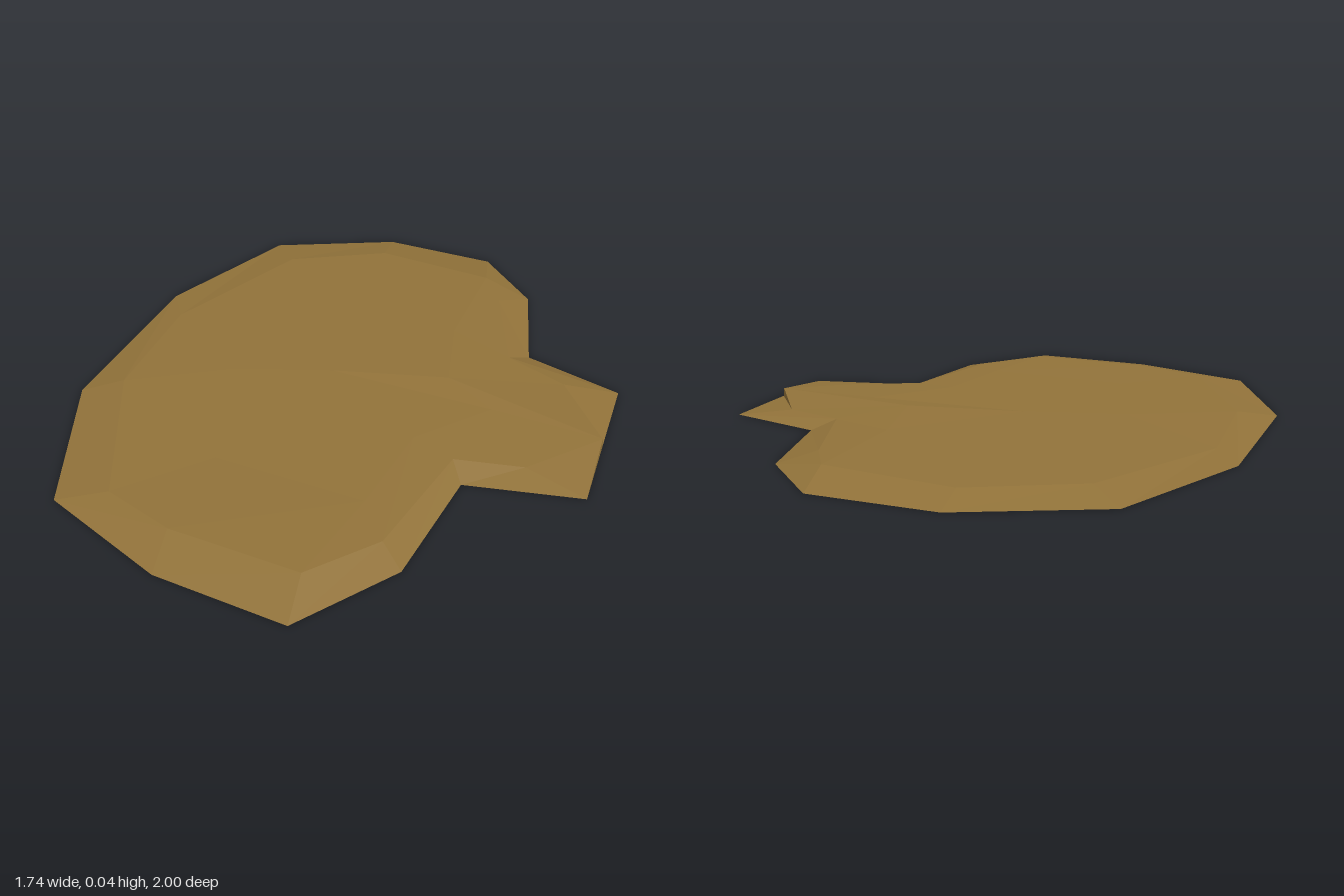
import * as THREE from 'three';

// Each row is one spoke: rim [x, z], shoulder [x, y, z], index of the crown point it joins
const SPOKES = [
  [[0.07, -1.0], [0.13, 0.03, -0.84], 0],
  [[0.31, -0.82], [0.23, 0.027, -0.72], 0],
  [[0.45, -0.47], [0.4, 0.028, -0.4], 1],
  [[0.79, -0.42], [0.62, 0.022, -0.35], 1],
  [[0.832, -0.13], [0.829, 0.028, -0.13], 2],
  [[0.87, 0.13], [0.66, 0.017, 0.1], 2],
  [[0.51, 0.25], [0.45, 0.026, 0.18], 3],
  [[0.51, 0.66], [0.42, 0.025, 0.6], 4],
  [[0.33, 0.98], [0.28, 0.03, 0.82], 4],
  [[-0.1, 1.0], [-0.15, 0.028, 0.85], 5],
  [[-0.54, 0.89], [-0.4, 0.023, 0.8], 5],
  [[-0.81, 0.42], [-0.7, 0.022, 0.33], 6],
  [[-0.87, -0.21], [-0.77, 0.012, -0.1], 6],
  [[-0.72, -0.72], [-0.6, 0.022, -0.62], 7],
  [[-0.33, -0.96], [-0.3, 0.024, -0.83], 7],
];
const CROWN = [
  [0.17, 0.033, -0.45], [0.27, 0.04, -0.18], [0.46, 0.03, -0.1], [0.3, 0.033, 0.15],
  [0.3, 0.03, 0.48], [-0.2, 0.026, 0.52], [-0.4, 0.027, 0.1], [-0.3, 0.026, -0.5],
];
const CENTRE = [-0.1, 0.032, -0.04];

// Faceted top skin: rim to shoulder to crown to centre
function topGeometry() {
  const positions = [];
  const tri = (a, b, c) => {
    if (a !== b && b !== c && a !== c) positions.push(...a, ...b, ...c);
  };
  const loops = SPOKES.map(([rim, shoulder, k]) => [[rim[0], 0, rim[1]], shoulder, CROWN[k], CENTRE]);
  loops.forEach((a, i) => {
    const b = loops[(i + 1) % loops.length];
    for (let j = 0; j < 3; j++) {
      tri(b[j], a[j], a[j + 1]);
      tri(b[j], a[j + 1], b[j + 1]);
    }
  });
  const geometry = new THREE.BufferGeometry();
  geometry.setAttribute('position', new THREE.Float32BufferAttribute(positions, 3));
  geometry.computeVertexNormals();
  return geometry;
}

export function createModel() {
  const earth = new THREE.MeshStandardMaterial({ color: 0x92733a, flatShading: true });
  earth.name = 'earth brown';

  const group = new THREE.Group();
  group.name = 'groundPatch';

  const top = new THREE.Mesh(topGeometry(), earth);
  top.name = 'topSurface';

  // Flat underside with the same outline, facing down
  const outline = new THREE.Shape(SPOKES.map(([rim]) => new THREE.Vector2(...rim)));
  const underside = new THREE.Mesh(new THREE.ShapeGeometry(outline).rotateX(Math.PI / 2), earth);
  underside.name = 'underside';

  group.add(top, underside);
  return group;
}
